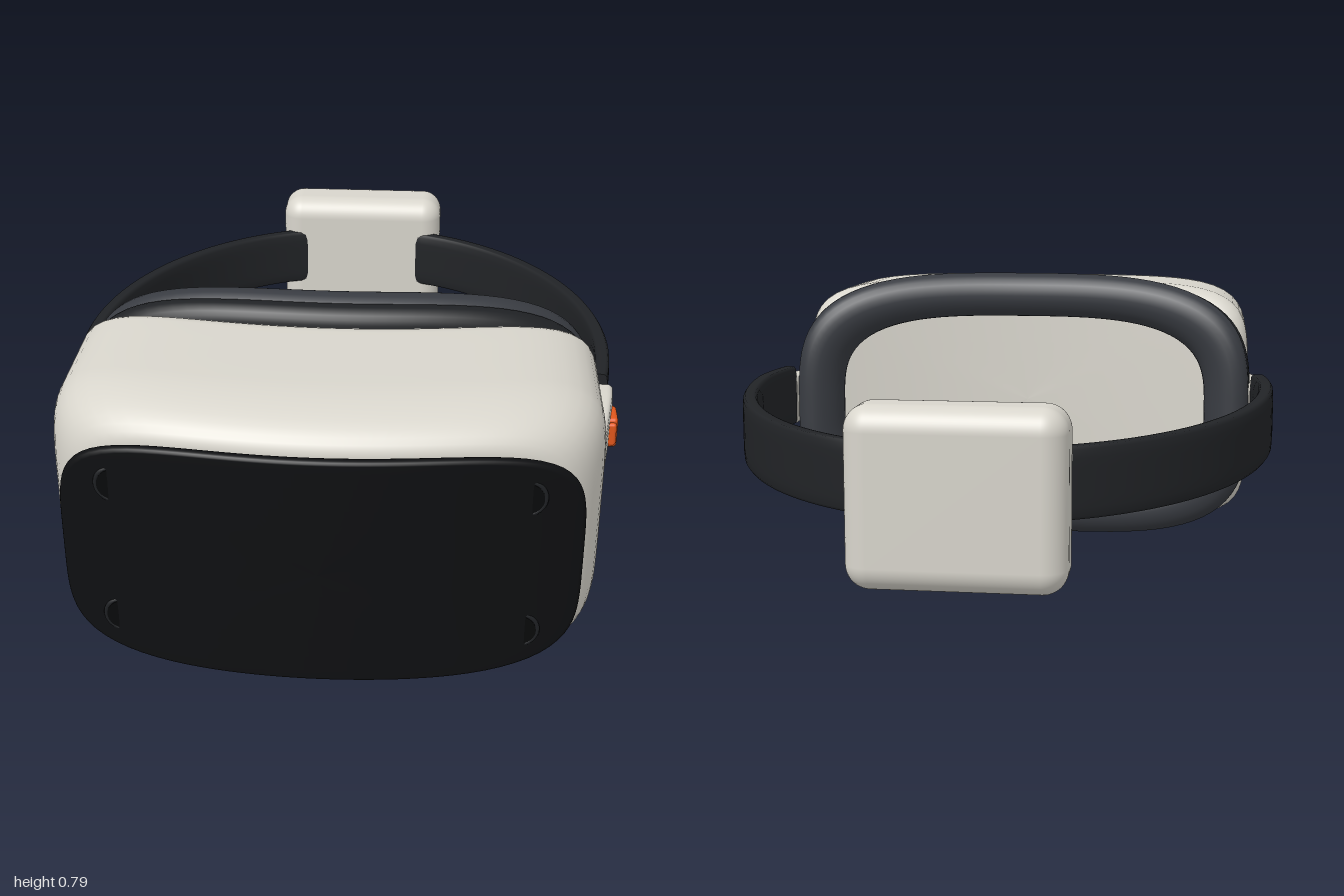
import * as THREE from 'three';
import { RoundedBoxGeometry } from 'three/addons/geometries/RoundedBoxGeometry.js';

const mat = (color) => new THREE.MeshStandardMaterial({ color, roughness: 0.7 });
const shellMat = mat(0xd8d5cc);
const plateMat = mat(0x0e0f11);
const lensMat = mat(0x08090a);
const ringMat = mat(0x1d1f22);
const frameMat = mat(0x1f2124);
const padMat = mat(0x383b41);
const strapMat = mat(0x212326);
const buttonMat = mat(0xe0561c);

function add(parent, name, geometry, material, x = 0, y = 0, z = 0) {
  const mesh = new THREE.Mesh(geometry, material);
  mesh.name = name;
  mesh.position.set(x, y, z);
  parent.add(mesh);
  return mesh;
}

// Skin over a list of rings; closed joins the last ring to the first
function loft(rings, closed = false) {
  const n = rings[0].length, m = rings.length, index = [];
  for (let i = 0; i < (closed ? m : m - 1); i++) {
    for (let j = 0; j < n; j++) {
      const k = (j + 1) % n, next = (i + 1) % m;
      const a = i * n + j, b = i * n + k, c = next * n + j, d = next * n + k;
      index.push(a, c, b, b, c, d);
    }
  }
  const geometry = new THREE.BufferGeometry().setFromPoints(rings.flat());
  geometry.setIndex(index);
  geometry.computeVertexNormals();
  return geometry;
}

// Soft rectangle ring, wrapped backwards around the head by bend * x^2
function softRing(a, b, power, z, bend, y = 0, segments = 128) {
  return Array.from({ length: segments }, (_, j) => {
    const t = (j / segments) * Math.PI * 2, c = Math.cos(t), s = Math.sin(t);
    const r = (Math.abs(c) ** power + Math.abs(s) ** power) ** (-1 / power);
    const x = a * c * r;
    return new THREE.Vector3(x, y + b * s * r, z - bend * x * x);
  });
}

// Solid made of soft rings: half size (a, b), profile of [z, inset x, inset y] from front to back
function softSolid(a, b, power, bend, y, profile) {
  const ring = ([z, dx, dy], f = 1) => softRing((a - dx) * f, (b - dy) * f, power, z, bend, y);
  const fades = [0, 0.2, 0.4, 0.6, 0.8, 0.93];
  const first = profile[0], last = profile[profile.length - 1];
  return loft([
    ...fades.map((f) => ring(first, f)),
    ...profile.map((p) => ring(p)),
    ...fades.reverse().map((f) => ring(last, f)),
  ]);
}

// Closed padded ring with an oval section
function cushion(a, b, power, bend, y, z, width, depth) {
  const rings = [];
  for (let i = 0; i < 24; i++) {
    const t = (i / 24) * Math.PI * 2;
    const inset = width / 2 * (1 - Math.sin(t));
    rings.push(softRing(a - inset, b - inset, power, z + Math.cos(t) * depth / 2, bend, y));
  }
  return loft(rings, true);
}

// Add flat end caps with sharp edges to a run of rings
function capped(rings) {
  const cap = (ring) => {
    const mid = ring.reduce((sum, p) => sum.add(p), new THREE.Vector3()).divideScalar(ring.length);
    return [ring.map(() => mid.clone()), ring.map((p) => p.clone())];
  };
  return loft([...cap(rings[0]), ...rings, ...cap(rings[rings.length - 1]).reverse()]);
}

// Quarter-round bevel rows between two z values
function bevel(z0, z1, dx, dy, steps, front) {
  return Array.from({ length: steps + 1 }, (_, i) => {
    const t = (i / steps) * Math.PI / 2;
    const inset = front ? 1 - Math.sin(t) : 1 - Math.cos(t);
    const along = front ? 1 - Math.cos(t) : Math.sin(t);
    return [z0 + (z1 - z0) * along, dx * inset, dy * inset];
  });
}

// Head strap half: flat band swept along an ellipse
function strapGeometry() {
  const rings = [];
  for (let i = 0; i <= 40; i++) {
    const t = -0.22 + (i / 40) * 1.54;
    const x = 0.715 * Math.cos(t), z = -0.875 * Math.sin(t);
    const out = new THREE.Vector3(0.875 * Math.cos(t), 0, -0.715 * Math.sin(t)).normalize();
    const y = 0.432 - 0.037 * THREE.MathUtils.clamp(-z / 0.84, 0, 1);
    rings.push(softRing(0.021, 0.087, 7, 0, 0, 0, 32).map((p) =>
      new THREE.Vector3(x, y + p.y, z).addScaledVector(out, p.x)));
  }
  return capped(rings);
}

// Side arm: wedge that runs out of the shell and thickens towards the strap
function armGeometry() {
  const stations = [ // z, inner x, outer x, half height
    [0.58, 0.64, 0.665, 0.04], [0.57, 0.64, 0.672, 0.053], [0.54, 0.645, 0.68, 0.06],
    [0.45, 0.655, 0.697, 0.066], [0.35, 0.665, 0.714, 0.07], [0.25, 0.67, 0.73, 0.072],
    [0.195, 0.67, 0.735, 0.072], [0.185, 0.675, 0.73, 0.069],
  ];
  return capped(stations.map(([z, x0, x1, h]) =>
    softRing((x1 - x0) / 2, h, 7, z, 0, 0.418, 32).map((p) => p.setX(p.x + (x0 + x1) / 2))));
}

export function createModel() {
  const model = new THREE.Group();
  model.name = 'headset';

  // Main shell
  add(model, 'shell', softSolid(0.672, 0.364, 6, 0.25, 0.402, [
    ...bevel(0.94, 0.74, 0.13, 0.085, 10, true),
    [0.65, 0, 0], [0.55, 0, 0],
    ...bevel(0.48, 0.4, 0.06, 0.07, 8, false),
  ]), shellMat);

  // Curved front plate
  add(model, 'frontPlate', softSolid(0.612, 0.302, 4.6, 0.29, 0.402, [
    ...bevel(1.0, 0.988, 0.01, 0.01, 4, true),
    ...bevel(0.985, 0.974, 0.008, 0.008, 4, false),
  ]), plateMat);

  // Four tracking cameras
  for (const x of [-0.47, 0.47]) {
    for (const y of [0.22, 0.585]) {
      const camera = new THREE.Group();
      camera.name = 'trackingCamera';
      camera.position.set(x, y, 0.922);
      add(camera, 'cameraLens', new THREE.CylinderGeometry(0.04, 0.04, 0.02, 32).rotateX(Math.PI / 2), lensMat);
      add(camera, 'cameraRing', new THREE.TorusGeometry(0.043, 0.006, 8, 40), ringMat, 0, 0, 0.004);
      model.add(camera);
    }
  }

  // Face gasket: stiff frame and soft pad
  add(model, 'gasketFrame', cushion(0.678, 0.386, 3.5, 0.25, 0.402, 0.37, 0.1, 0.09), frameMat);
  add(model, 'facePad', cushion(0.674, 0.396, 3.4, 0.25, 0.402, 0.32, 0.13, 0.12), padMat);

  // Arms and strap halves
  for (const side of [1, -1]) {
    const half = new THREE.Group();
    half.name = side > 0 ? 'leftStrap' : 'rightStrap';
    half.scale.x = side;
    add(half, 'sideArm', armGeometry(), shellMat);
    add(half, 'strapBand', strapGeometry(), strapMat);
    model.add(half);
  }

  // Button on the left arm
  add(model, 'buttonBase', new RoundedBoxGeometry(0.03, 0.066, 0.115, 3, 0.008), buttonMat, 0.719, 0.422, 0.293);
  add(model, 'buttonCap', new RoundedBoxGeometry(0.036, 0.086, 0.08, 3, 0.01), buttonMat, 0.72, 0.422, 0.3);

  // Rear battery pack
  add(model, 'batteryPack', new RoundedBoxGeometry(0.515, 0.43, 0.175, 8, 0.06), shellMat, 0, 0.375, -0.9125);

  return model;
}
